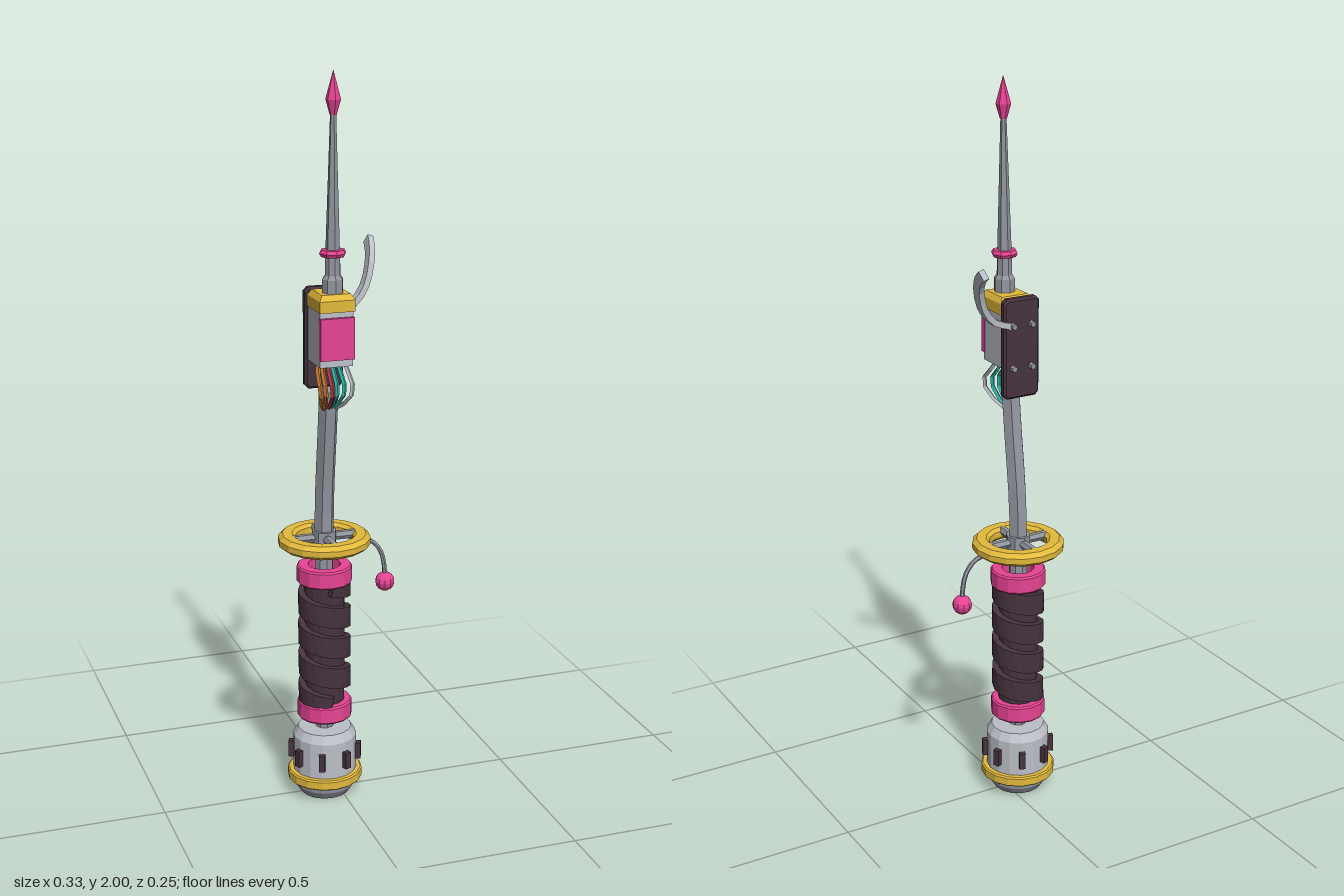
import * as THREE from 'three';

const mat = (name, color) => {
  const m = new THREE.MeshStandardMaterial({ color });
  m.name = name;
  return m;
};
const V = (x, y, z) => new THREE.Vector3(x, y, z);
const curve = (...p) => new THREE.CatmullRomCurve3(p.map(a => V(...a)));

// Facet a geometry so that every face has its own normal
function flat(g) {
  const f = g.index ? g.toNonIndexed() : g;
  f.computeVertexNormals();
  return f;
}

// Sweep a counter-clockwise cross-section along points; ref sets its u direction
function sweep(pts, section, ref) {
  const pos = [], idx = [], n = section.length, last = pts.length - 1;
  pts.forEach((p, i) => {
    const T = pts[Math.min(i + 1, last)].clone().sub(pts[Math.max(i - 1, 0)]).normalize();
    const s = ref.clone().addScaledVector(T, -ref.dot(T)).normalize();
    const w = T.clone().cross(s);
    for (const [u, v] of section) pos.push(...p.clone().addScaledVector(s, u).addScaledVector(w, v));
  });
  for (let i = 0; i < last; i++) for (let k = 0; k < n; k++) {
    const a = i * n + k, b = i * n + (k + 1) % n;
    idx.push(a, b, b + n, a, b + n, a + n);
  }
  for (let k = 1; k < n - 1; k++) {
    idx.push(0, k + 1, k);
    idx.push(last * n, last * n + k, last * n + k + 1);
  }
  const g = new THREE.BufferGeometry();
  g.setAttribute('position', new THREE.Float32BufferAttribute(pos, 3));
  g.setIndex(idx);
  return g;
}
const rect = (a, b) => [[a, b], [-a, b], [-a, -b], [a, -b]];
const ngon = (n, r) => Array.from({ length: n }, (_, i) => {
  const a = (i / n) * Math.PI * 2;
  return [r * Math.cos(a), r * Math.sin(a)];
});

export function createModel() {
  const pink = mat('pink', 0xea4596), gold = mat('gold', 0xe2ba3d), dark = mat('darkWrap', 0x46333f);
  const light = mat('lightMetal', 0xbcc0c7), steel = mat('steel', 0x92969f);
  const teal = mat('tealWire', 0x2cb5a8), orange = mat('orangeWire', 0xc87a35), red = mat('redWire', 0xb83a48);

  const model = new THREE.Group();
  model.name = 'brokenSpikeSword';
  const AX = -0.038; // handle axis
  const BZ = 0.074;  // upper blade axis

  const add = (name, geo, m, x = 0, y = 0, z = 0) => {
    const mesh = new THREE.Mesh(flat(geo), m);
    mesh.name = name;
    mesh.position.set(x, y, z);
    model.add(mesh);
    return mesh;
  };
  const lathe = (name, pts, n, m, x = AX, z = 0) =>
    add(name, new THREE.LatheGeometry(pts.map(p => new THREE.Vector2(...p)), n), m, x, 0, z);
  const box = (name, m, x0, x1, y0, y1, z0, z1) =>
    add(name, new THREE.BoxGeometry(x1 - x0, y1 - y0, z1 - z0), m, (x0 + x1) / 2, (y0 + y1) / 2, (z0 + z1) / 2);

  // Pommel: darker foot, light body, band and slots
  lathe('pommelFoot', [[0, 0], [0.068, 0], [0.082, 0.022], [0.085, 0.045]], 16, steel);
  lathe('pommel', [[0.085, 0.045], [0.088, 0.06], [0.088, 0.172], [0.074, 0.195], [0, 0.195]], 16, light);
  lathe('pommelBand', [[0.08, 0.041], [0.1, 0.041], [0.104, 0.045], [0.104, 0.066], [0.1, 0.07], [0.08, 0.07]], 16, gold);
  for (let i = 0; i < 8; i++) {
    const a = (i + 0.5) * Math.PI / 4;
    add('pommelSlot', new THREE.BoxGeometry(0.017, 0.048, 0.024), dark,
      AX + Math.sin(a) * 0.089, 0.121, Math.cos(a) * 0.089).rotation.y = a;
  }

  // Grip: inner rod, core, spiral wrap and end collars
  add('innerRod', new THREE.CylinderGeometry(0.025, 0.025, 0.58, 8), steel, AX, 0.475, 0);
  add('gripCore', new THREE.CylinderGeometry(0.055, 0.055, 0.37, 14), dark, AX, 0.45, 0);
  const helix = [];
  for (let i = 0; i <= 64; i++) {
    const a = -(i / 64) * Math.PI * 2 * 4;
    helix.push(V(0.06 * Math.sin(a), 0.275 + 0.355 * i / 64, 0.06 * Math.cos(a)));
  }
  add('gripWrap', sweep(helix, rect(0.029, 0.012), V(0, 1, 0)), dark, AX);
  for (const y of [0.228, 0.624]) {
    lathe('gripCollar', [[0.045, y], [0.072, y], [0.076, y + 0.005], [0.076, y + 0.045],
      [0.072, y + 0.05], [0.045, y + 0.05], [0.045, y]], 14, pink);
  }

  // Guard wheel with hub and four spokes
  lathe('guardHub', [[0, 0.705], [0.042, 0.705], [0.042, 0.728], [0.034, 0.733], [0.034, 0.772], [0, 0.772]], 8, steel);
  lathe('guardRing', [[0.088, 0.726], [0.114, 0.726], [0.126, 0.736], [0.126, 0.752], [0.114, 0.763],
    [0.088, 0.763], [0.079, 0.754], [0.079, 0.736], [0.088, 0.726]], 16, gold);
  for (let i = 0; i < 2; i++) {
    const spoke = new THREE.CylinderGeometry(0.0125, 0.0125, 0.176, 6).rotateZ(Math.PI / 2);
    add('guardSpokes', spoke, steel, AX, 0.752, 0).rotation.y = i * Math.PI / 2;
  }

  // Hanging charm
  const cord = curve([0.06, 0.735, 0], [0.1, 0.722, 0], [0.125, 0.69, 0], [0.135, 0.65, 0], [0.1375, 0.61, 0]);
  add('charmCord', new THREE.TubeGeometry(cord, 10, 0.0065, 6), steel);
  add('charmBall', new THREE.SphereGeometry(0.027, 10, 8), pink, 0.1375, 0.602, 0);

  // Bent lower blade, broken off at the top
  const shaft = curve([AX, 0.76, 0], [AX, 0.86, 0.003], [AX, 0.98, 0.017], [AX, 1.08, 0.031], [AX, 1.174, 0.041]);
  add('lowerShaft', sweep(shaft.getPoints(6), ngon(6, 0.027), V(1, 0, 0)), steel);

  // Loose wires bridging the break
  [orange, teal, red, teal, light, orange].forEach((m, i) => {
    const order = [-1, 0.1, -0.25, 0.55, 1, -0.62], k = order[i], out = 0.112 - 0.008 * (i % 2);
    const path = curve([AX + k * 0.034, 1.258, 0.055], [AX + k * 0.042, 1.222, out - 0.03],
      [AX + k * 0.044, 1.187, out], [AX + k * 0.034, 1.15, out - 0.027], [AX + k * 0.016, 1.125, 0.05]);
    add('wire', sweep(path.getPoints(5), ngon(4, 0.0062), V(1, 0, 0)), m);
  });

  // Blade housing: body, front panel and bevelled cap
  box('housing', light, AX - 0.045, AX + 0.045, 1.25, 1.4, 0.005, 0.106);
  box('housingPanel', pink, AX - 0.046, AX + 0.046, 1.27, 1.38, 0.1, 0.117);
  const cap = [[1, 1, 0.03, 1.41], [0.8, 1, 0.015, 1.4325]];
  cap.forEach(([top, bottom, h, y]) => {
    const g = new THREE.CylinderGeometry(top * Math.SQRT2, bottom * Math.SQRT2, h, 4)
      .rotateY(Math.PI / 4).scale(0.048, 1, 0.053);
    add('housingCap', g, gold, AX, y, 0.062);
  });

  // Back plate with bevelled edges and four bolts
  const plate = new THREE.Shape();
  [[-0.04, -0.13], [0.04, -0.13], [0.047, -0.123], [0.047, 0.123], [0.04, 0.13], [-0.04, 0.13],
    [-0.047, 0.123], [-0.047, -0.123]].forEach(([x, y], i) => (i ? plate.lineTo(x, y) : plate.moveTo(x, y)));
  const plateGeo = new THREE.ExtrudeGeometry(plate,
    { depth: 0.014, bevelThickness: 0.006, bevelSize: 0.006, bevelSegments: 1 });
  add('backPlate', plateGeo, dark, AX, 1.306, -0.013);
  for (const sx of [-1, 1]) for (const y of [1.255, 1.37]) {
    add('bolt', new THREE.CylinderGeometry(0.008, 0.01, 0.014, 6).rotateX(-Math.PI / 2), steel, AX + sx * 0.028, y, -0.023);
  }

  // Curved side lever
  const lever = curve([-0.005, 1.37, -0.008], [0.045, 1.388, -0.01], [0.08, 1.43, -0.018],
    [0.1, 1.485, -0.035], [0.11, 1.52, -0.06], [0.116, 1.54, -0.09]);
  add('lever', sweep(lever.getPoints(10), rect(0.014, 0.008), V(0, 0, 1)), light);

  // Upper spike: stepped socket, ring, tapering shaft and point
  lathe('spikeSocket', [[0, 1.43], [0.028, 1.43], [0.028, 1.475], [0.021, 1.485], [0.02, 1.54], [0, 1.54]], 8, steel, AX, BZ);
  lathe('spikeRing', [[0.015, 1.533], [0.031, 1.533], [0.036, 1.542], [0.031, 1.551], [0.015, 1.551]], 8, pink, AX, BZ);
  const spike = lathe('spikeShaft', [[0, 0], [0.019, 0], [0.007, 0.38], [0, 0.38]], 6, steel, AX, BZ);
  const tip = lathe('spikeTip', [[0, 0.35], [0.009, 0.35], [0.02, 0.388], [0, 0.46]], 6, pink, AX, BZ);
  for (const part of [spike, tip]) {
    part.position.y = 1.54;
    part.rotation.x = 0.014;
  }
  return model;
}
